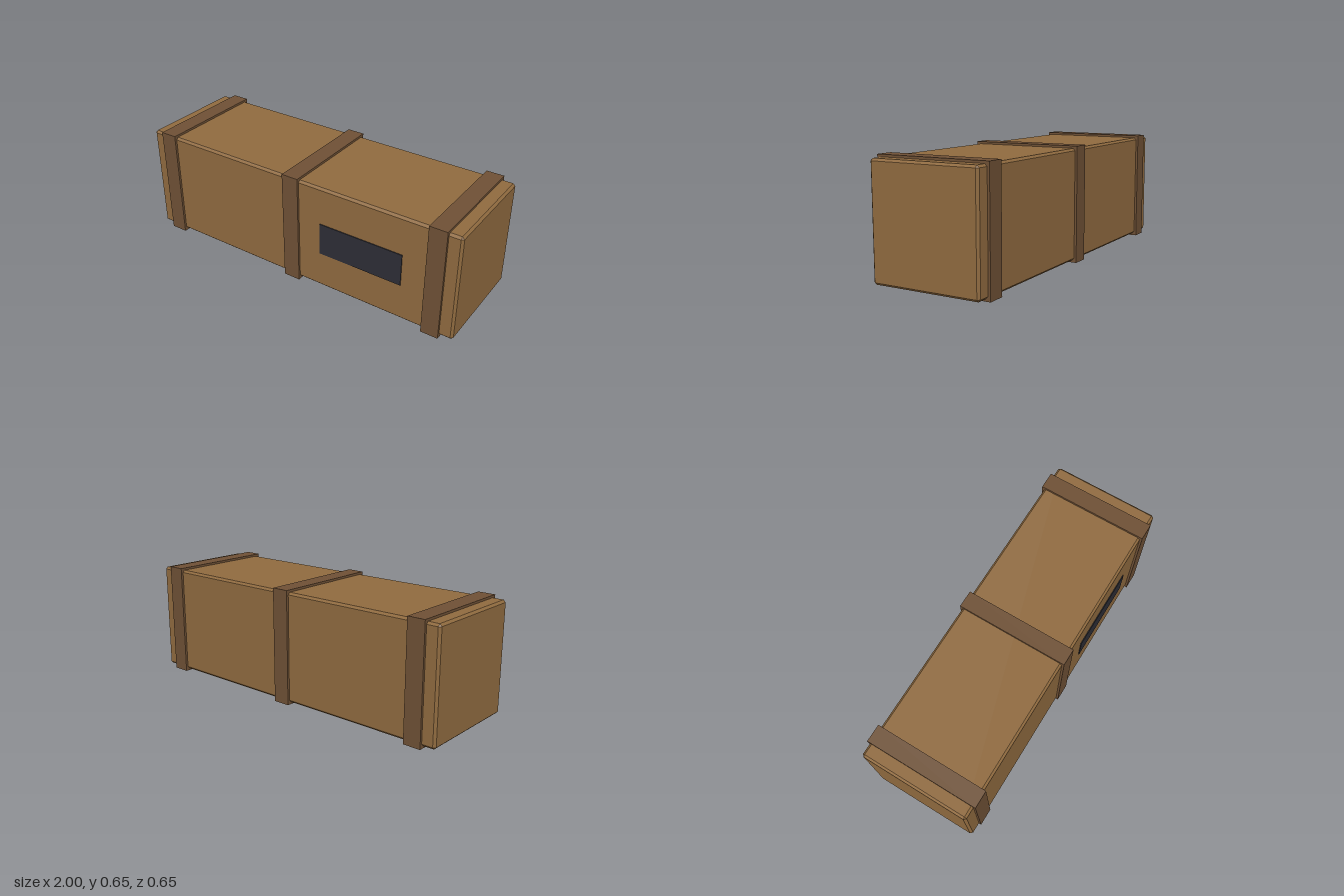
import * as THREE from 'three';
import { ConvexGeometry } from 'three/addons/geometries/ConvexGeometry.js';

const paint = (name, color) => new THREE.MeshStandardMaterial({ name, color });

// Box with flat chamfers on every edge and corner
function chamferedBox(w, h, d, c) {
  const points = [];
  for (const x of [-1, 1]) for (const y of [-1, 1]) for (const z of [-1, 1]) {
    for (let axis = 0; axis < 3; axis++) {
      const inset = [c, c, c];
      inset[axis] = 0;
      points.push(new THREE.Vector3(
        x * (w / 2 - inset[0]), y * (h / 2 - inset[1]), z * (d / 2 - inset[2])));
    }
  }
  return new ConvexGeometry(points);
}

export function createModel() {
  const wood = paint('wood', 0x8f6a3f);
  const darkWood = paint('darkWood', 0x6e5035);
  const labelGrey = paint('labelGrey', 0x2d2d35);

  const model = new THREE.Group();
  model.name = 'crate';
  const outer = 0.652, inner = 0.626, middle = outer / 2;

  const add = (name, geometry, material, x, y, z) => {
    const mesh = new THREE.Mesh(geometry, material);
    mesh.name = name;
    mesh.position.set(x, y, z);
    model.add(mesh);
  };

  // Long crate body
  add('body', chamferedBox(2, inner, inner, 0.0125), wood, 0, middle, 0);

  // Three bands around the body
  const band = new THREE.BoxGeometry(0.1, outer, outer);
  for (const [name, x] of [['rightBand', -0.875], ['middleBand', 0], ['leftBand', 0.875]]) {
    add(name, band, darkWood, x, middle, 0);
  }

  // Dark label plate on the front
  add('labelPlate', new THREE.BoxGeometry(0.5, 0.188, 0.006), labelGrey, 0.4375, middle, inner / 2 + 0.002);

  return model;
}
